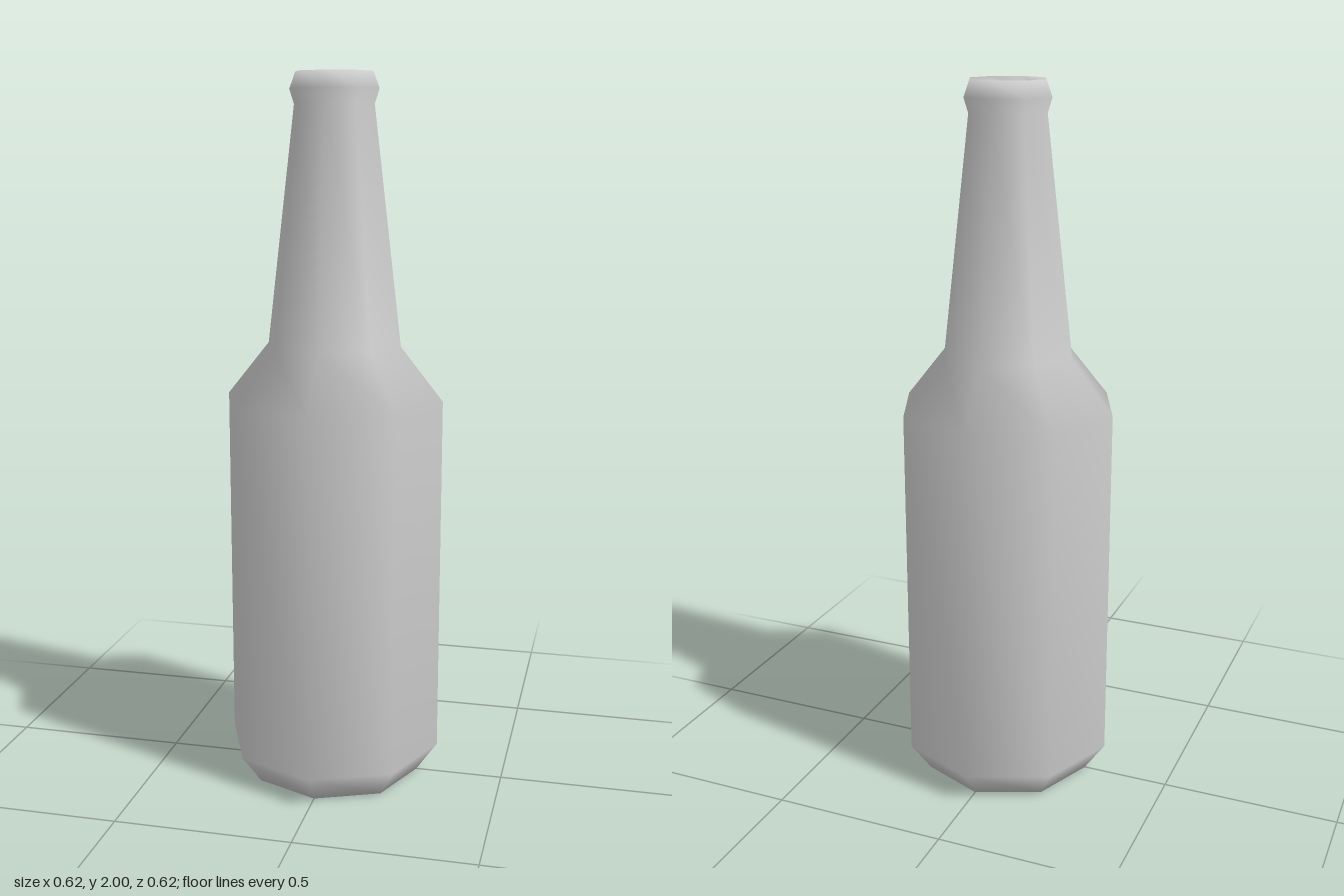
import * as THREE from 'three';

const SIDES = 8;

// Turns a [radius, height] profile into an eight-sided, smooth-shaded solid of revolution
function turned(name, profile, material) {
  const points = profile.map(([r, y]) => new THREE.Vector2(r, y));
  const mesh = new THREE.Mesh(new THREE.LatheGeometry(points, SIDES), material);
  mesh.name = name;
  return mesh;
}

export function createModel() {
  const group = new THREE.Group();
  group.name = 'bottle';
  const glass = new THREE.MeshStandardMaterial({ color: 0xcccccc });

  // Outer wall: base, chamfer, body, shoulder, tapering neck, lip and mouth
  group.add(turned('outerWall', [
    [0, 0], [0.25, 0], [0.31, 0.085], [0.31, 1.11], [0.19, 1.26],
    [0.112, 1.915], [0.125, 1.955], [0.108, 2], [0.081, 1.975],
  ], glass));

  // Inner wall: runs from the mouth down to the inside floor
  group.add(turned('innerWall', [
    [0.081, 1.975], [0.096, 1.915], [0.174, 1.255], [0.294, 1.1],
    [0.294, 0.09], [0.24, 0.016], [0, 0.016],
  ], glass));

  return group;
}
